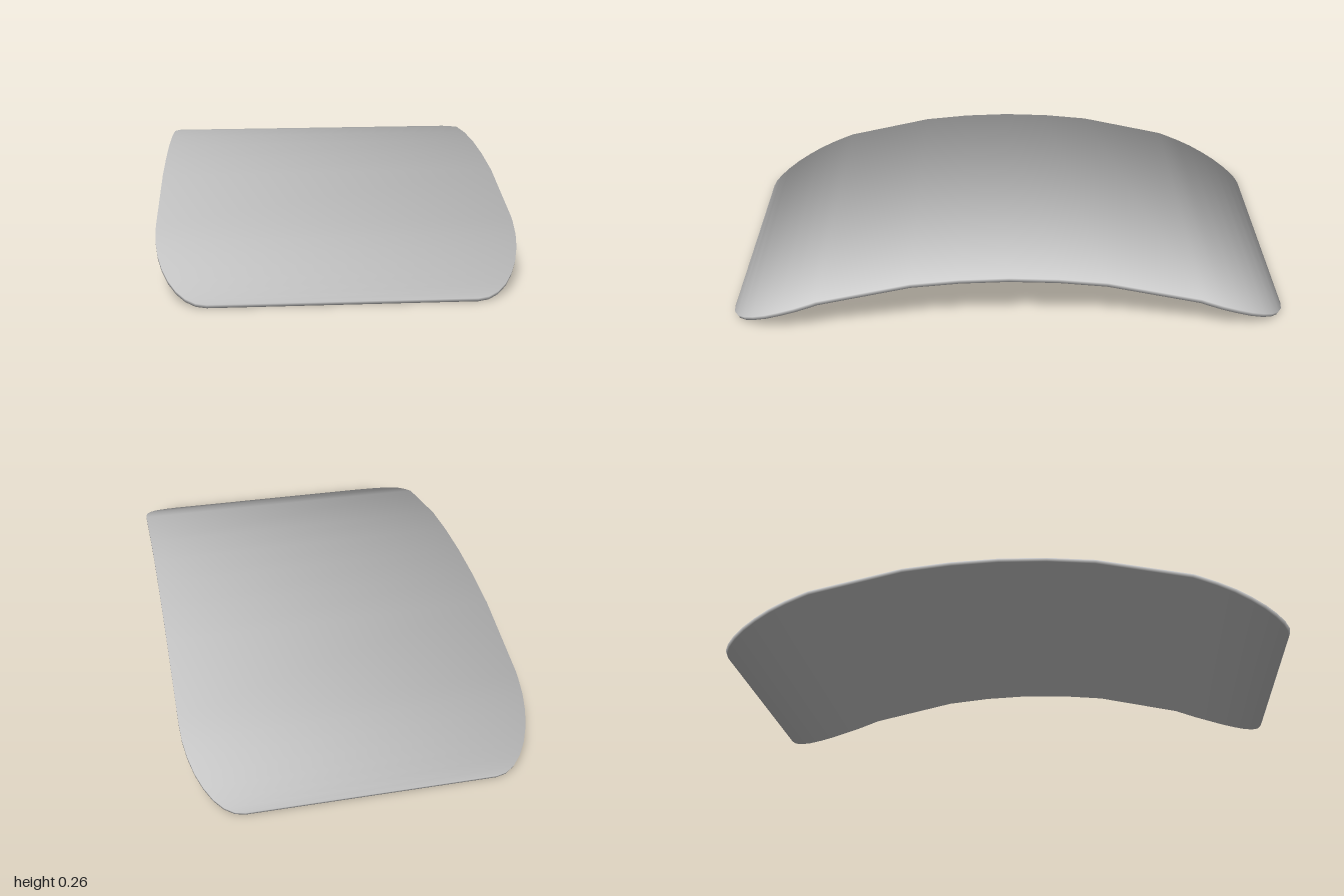
import * as THREE from 'three';

const THICKNESS = 0.015;
const HALF_WIDTH = 0.593;
const CORNER_X = 0.173, CORNER_Z = 0.31; // radii of the rounded corners
// arch profile of the upper face: distance from the middle, height
const PROFILE = [[0, 0.263], [0.17, 0.257], [0.34, 0.24], [0.67, 0.166], [0.8, 0.113], [0.9, 0.066], [1, 0.0136]];

function archHeight(z) {
  const d = Math.abs(z);
  let i = 1;
  while (i < PROFILE.length - 1 && PROFILE[i][0] < d) i++;
  const [z0, y0] = PROFILE[i - 1], [z1, y1] = PROFILE[i];
  return y0 + (y1 - y0) * (d - z0) / (z1 - z0);
}

// cross-sections of one half, from the middle to the end
function halfStations() {
  const list = [0, 0.17, 0.34, 0.67].map((z) => ({ z, w: HALF_WIDTH, ox: 1, oz: 0 }));
  const steps = 8;
  for (let i = 0; i <= steps; i++) {
    const a = (i / steps) * Math.PI / 2;
    const out = new THREE.Vector2(Math.cos(a) / CORNER_X, Math.sin(a) / CORNER_Z).normalize();
    list.push({
      z: 1 - CORNER_Z + CORNER_Z * Math.sin(a),
      w: HALF_WIDTH - CORNER_X + CORNER_X * Math.cos(a),
      ox: out.x, oz: out.y,
    });
  }
  return list;
}

function createPanelGeometry() {
  const half = halfStations();
  const back = half.slice(1).reverse().map((s) => ({ ...s, z: -s.z, oz: -s.oz }));
  const stations = [...back, ...half];
  const position = [], normal = [], index = [];

  stations.forEach(({ z, w, ox, oz }, i) => {
    // surface normal from the slope of the arch
    const slope = (archHeight(Math.min(z + 0.05, 1)) - archHeight(Math.max(z - 0.05, -1)))
      / (Math.min(z + 0.05, 1) - Math.max(z - 0.05, -1));
    const up = new THREE.Vector3(0, 1, -slope).normalize();
    // corners: upper left, upper right, lower right, lower left
    [[1, 1], [-1, 1], [-1, -1], [1, -1]].forEach(([sx, sy]) => {
      const p = new THREE.Vector3(sx * w, archHeight(z), z);
      if (sy < 0) p.addScaledVector(up, -THICKNESS);
      // rim normals blend softly into the faces
      const n = new THREE.Vector3(sx * ox, oz * slope, oz).addScaledVector(up, sy).normalize();
      position.push(p.x, p.y, p.z);
      normal.push(n.x, n.y, n.z);
    });
    if (i === 0) return;
    for (let k = 0; k < 4; k++) {
      const a = (i - 1) * 4 + k, b = (i - 1) * 4 + (k + 1) % 4;
      index.push(a, b, b + 4, a, b + 4, a + 4);
    }
  });

  // end edges
  const e = (stations.length - 1) * 4;
  index.push(0, 2, 1, 0, 3, 2, e, e + 1, e + 2, e, e + 2, e + 3);

  const geometry = new THREE.BufferGeometry();
  geometry.setAttribute('position', new THREE.Float32BufferAttribute(position, 3));
  geometry.setAttribute('normal', new THREE.Float32BufferAttribute(normal, 3));
  geometry.setIndex(index);
  return geometry;
}

export function createModel() {
  const group = new THREE.Group();
  const panel = new THREE.Mesh(createPanelGeometry(), new THREE.MeshStandardMaterial({ color: 0xcccccc }));
  panel.name = 'archedPanel';
  group.add(panel);
  return group;
}
